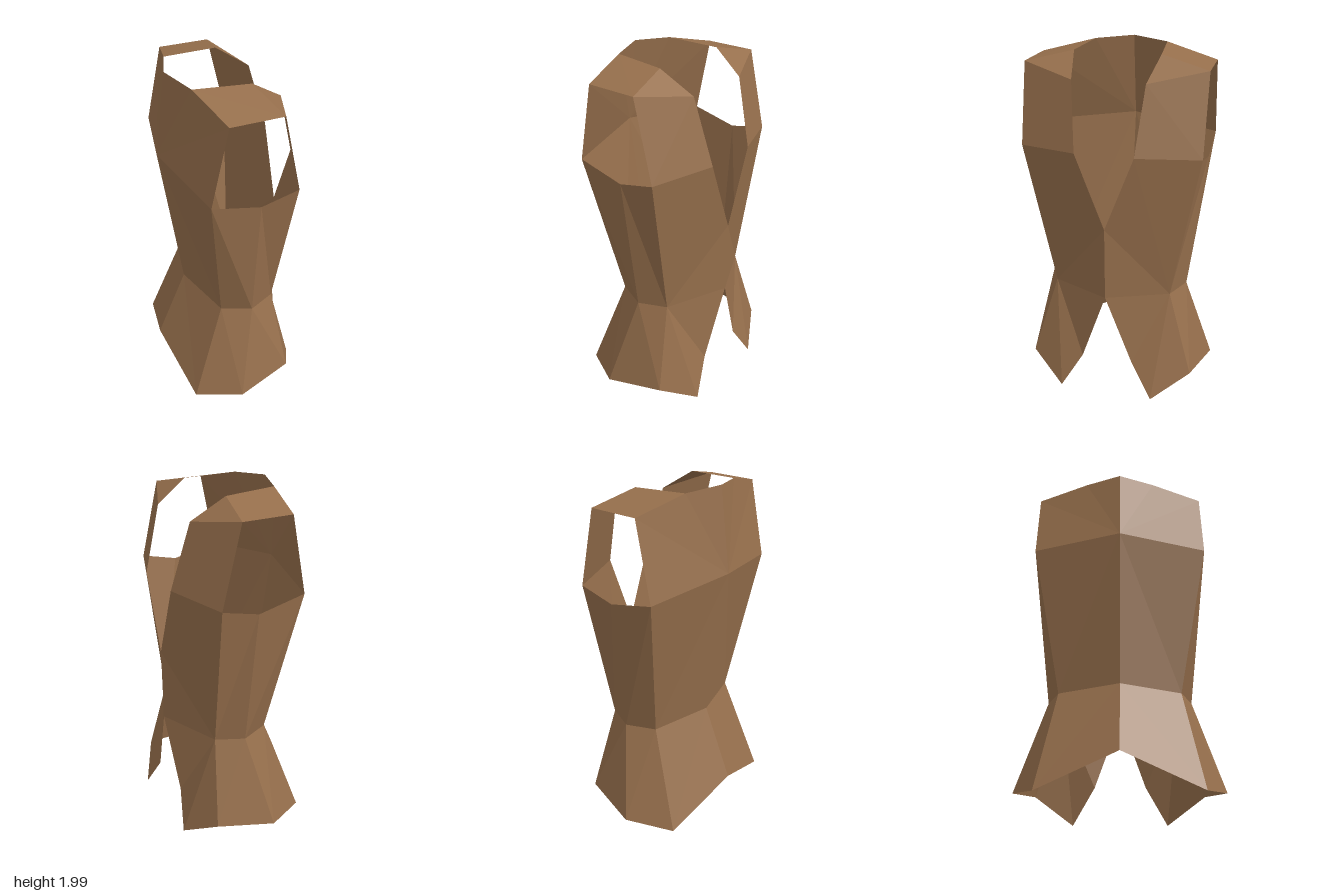
import * as THREE from 'three';

// Open sleeveless vest, faceted; its chest opening faces +x and it mirrors across z = 0.
export function createModel() {
  const vest = new THREE.Group();
  vest.name = 'vest';
  const leather = new THREE.MeshStandardMaterial({
    color: 0x966f4c, flatShading: true, side: THREE.DoubleSide,
  });

  // Half rings running from the front, around the side, to the middle of the back
  const hem = [[0.39, 0.01, 0.275], [0.27, 0.15, 0.485], [-0.06, 0.1, 0.565], [-0.31, 0.06, 0.43], [-0.39, 0.24, 0]];
  const waist = [[0.37, 0.655, 0], [0.21, 0.64, 0.34], [0.055, 0.64, 0.41], [-0.11, 0.64, 0.34], [-0.215, 0.66, 0]];
  const chest = [[0.37, 1.5, 0.16], [0.25, 1.48, 0.495], [0.04, 1.43, 0.497], [-0.23, 1.49, 0.497], [-0.34, 1.54, 0]];
  // Neckline and shoulder points
  const hemNotch = [0.345, 0.22, 0.15];
  const neckV = [0.372, 1.08, 0];
  const neckFront = [0.27, 1.86, 0.195];
  const neckTop = [0.09, 1.975, 0.235];
  const neckBack = [-0.21, 1.985, 0.205];
  const neckMiddle = [-0.28, 2, 0];
  const shoulderFront = [0.145, 1.915, 0.495];
  const shoulderBack = [-0.14, 1.915, 0.495];

  const quad = (low, high, i) => [low[i], high[i], high[i + 1], low[i + 1]];

  // Each part is a list of polygons, fanned out from their first corner
  const parts = {
    frontPanel: [
      [waist[1], waist[0], neckV, chest[0], chest[1]],
      [chest[1], chest[0], neckFront, shoulderFront],
    ],
    sidePanel: [quad(waist, chest, 1), quad(waist, chest, 2)],
    backPanel: [
      quad(waist, chest, 3),
      [chest[4], chest[3], shoulderBack, neckBack, neckMiddle],
    ],
    shoulderStrap: [[shoulderFront, neckFront, neckTop, neckBack, shoulderBack]],
    flaredHem: [
      [waist[1], hem[1], hem[0], hemNotch, waist[0]],
      quad(hem, waist, 1), quad(hem, waist, 2), quad(hem, waist, 3),
    ],
  };

  // side = 1 for +z, -1 for the mirrored half (corner order reversed)
  function panelGeometry(polygons, side) {
    const positions = [];
    for (const p of polygons) {
      for (let i = 1; i < p.length - 1; i++) {
        const triangle = side > 0 ? [p[0], p[i], p[i + 1]] : [p[0], p[i + 1], p[i]];
        for (const [x, y, z] of triangle) positions.push(x, y, z * side);
      }
    }
    const geometry = new THREE.BufferGeometry();
    geometry.setAttribute('position', new THREE.Float32BufferAttribute(positions, 3));
    geometry.computeVertexNormals();
    return geometry;
  }

  for (const side of [1, -1]) {
    const half = new THREE.Group();
    half.name = side > 0 ? 'vestHalfFront' : 'vestHalfRear';
    for (const [name, polygons] of Object.entries(parts)) {
      const mesh = new THREE.Mesh(panelGeometry(polygons, side), leather);
      mesh.name = name;
      half.add(mesh);
    }
    vest.add(half);
  }
  return vest;
}
